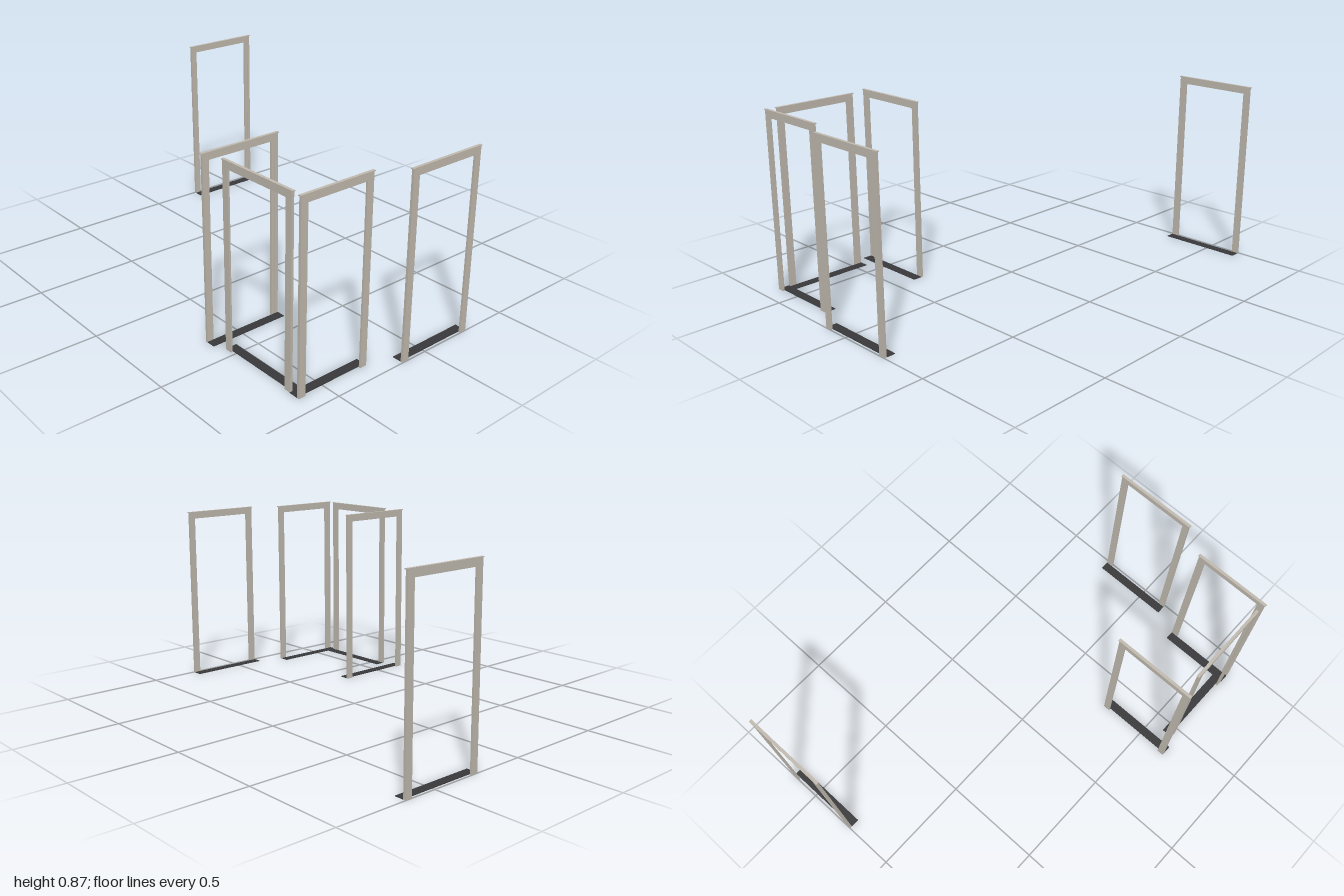
import * as THREE from 'three';

const TOP = 0.868, OPENING = 0.832, LEG = 0.034, DEPTH = 0.012;
const trim = new THREE.MeshStandardMaterial({ color: 0xc4bdb2 });
const dark = new THREE.MeshStandardMaterial({ color: 0x3a3a3c });

function box(parent, name, size, pos, material = trim) {
  const mesh = new THREE.Mesh(new THREE.BoxGeometry(...size), material);
  mesh.name = name;
  mesh.position.set(...pos);
  parent.add(mesh);
}

// One door surround; its outer face looks along local +z, the sill lies behind it.
function doorFrame(name, width, x, z, turn) {
  const g = new THREE.Group();
  g.name = name;
  const h = width / 2, inner = h - LEG, top = TOP - 0.004;

  // inverted U of two legs and a header
  const u = new THREE.Shape();
  [[-h, 0], [-inner, 0], [-inner, OPENING], [inner, OPENING], [inner, 0], [h, 0], [h, top], [-h, top]]
    .forEach(([px, py], i) => (i ? u.lineTo(px, py) : u.moveTo(px, py)));
  const casing = new THREE.Mesh(
    new THREE.ExtrudeGeometry(u, { depth: DEPTH - 0.003, bevelEnabled: false }), trim);
  casing.name = 'casing';
  casing.position.z = -DEPTH + 0.002;
  g.add(casing);

  // raised strips on the wall side, along the outer edge
  const back = -DEPTH + 0.0005;
  box(g, 'headerBackStrip', [width, 0.016, 0.003], [0, top - 0.008, back]);
  for (const s of [-1, 1])
    box(g, 'legBackStrip', [0.016, top - 0.016, 0.003], [s * (h - 0.008), (top - 0.016) / 2, back]);

  // overhanging cap and flat sill
  box(g, 'cap', [width + 0.01, 0.004, 0.014], [0, TOP - 0.002, -0.007]);
  box(g, 'sill', [width, 0.003, 0.043], [0, 0.0015, -0.0345], dark);

  g.position.set(x, 0, z);
  g.rotation.y = turn;
  return g;
}

export function createModel() {
  const model = new THREE.Group();
  model.name = 'doorFrames';
  model.add(
    doorFrame('frontDoorFrame', 0.399, 0.064, 1, 0),
    doorFrame('frontRightDoorFrame', 0.37, -0.449, 0.915, 0),
    doorFrame('sideDoorFrame', 0.414, -0.633, 0.652, -Math.PI / 2),
    doorFrame('middleDoorFrame', 0.394, -0.463, 0.34, Math.PI),
    doorFrame('backDoorFrame', 0.404, 0.455, -1, Math.PI),
  );
  return model;
}
